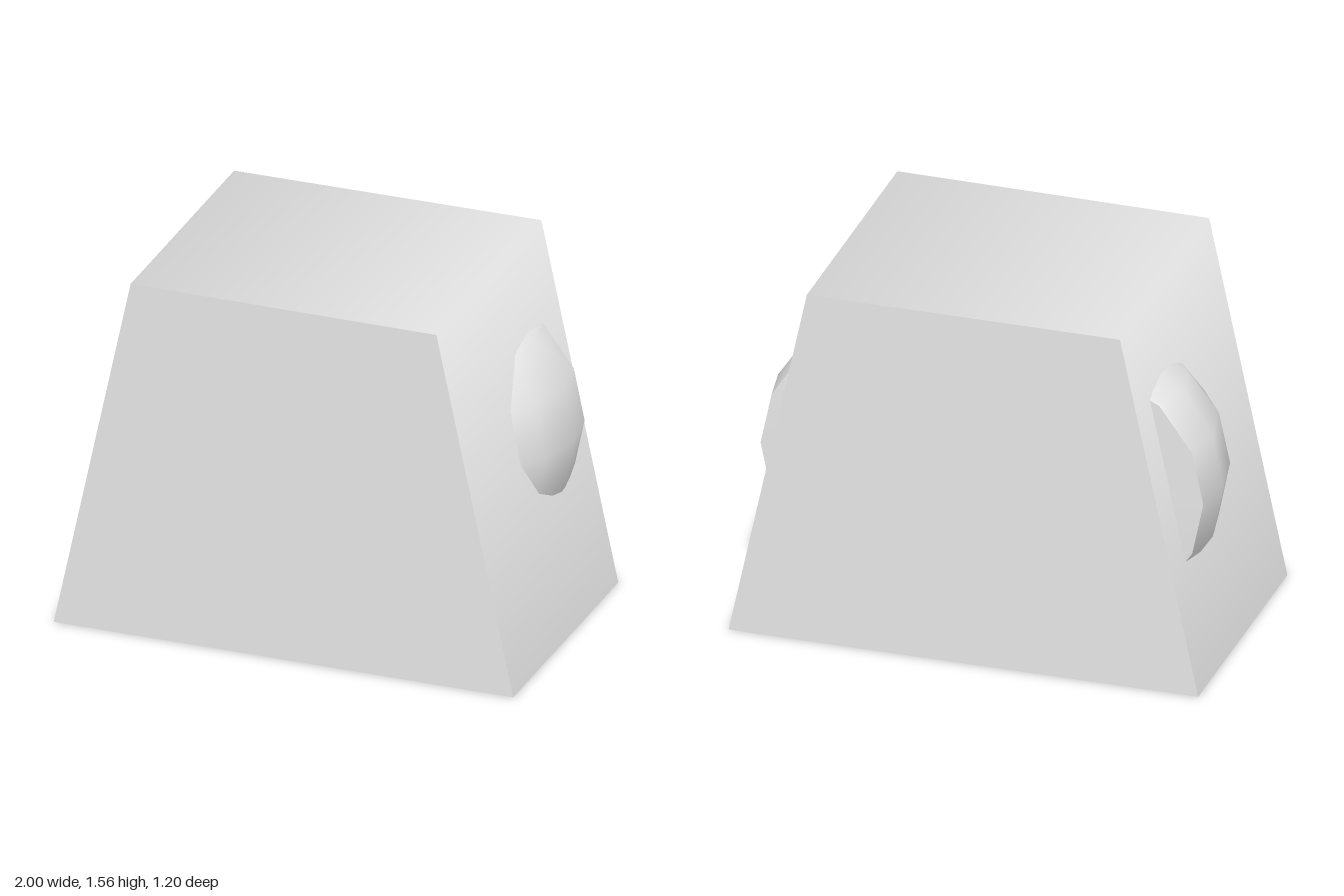
import * as THREE from 'three';
import { toCreasedNormals } from 'three/addons/utils/BufferGeometryUtils.js';

const H = 1.56;

// Move every vertex of a geometry by a rule
function reshape(geometry, rule) {
  const p = geometry.attributes.position;
  const v = new THREE.Vector3();
  for (let i = 0; i < p.count; i++) {
    v.fromBufferAttribute(p, i);
    rule(v);
    p.setXYZ(i, v.x, v.y, v.z);
  }
  return geometry;
}

// Tapered block, front and back very slightly skewed
function bodyGeometry() {
  const box = new THREE.BoxGeometry(2, H, 1.2).translate(0, H / 2, 0);
  reshape(box, (v) => {
    if (v.z > 0 && v.x < 0) v.z = 0.577;
    if (v.z < 0 && v.x > 0) v.z = -0.594;
    if (v.y > H / 2) v.x *= 0.667;
  });
  // smooth over the top edges, sharp elsewhere
  return toCreasedNormals(box, 1.48);
}

// Outer half of a low-sided sphere, sliced flat at the back
function podGeometry(side) {
  const R = 0.59, cut = 0.18;
  const start = side > 0 ? Math.PI / 2 : -Math.PI / 2;
  const half = new THREE.SphereGeometry(R, 8, 8, start, Math.PI);
  reshape(half, (v) => {
    if (v.z >= -cut) return;
    const r = Math.hypot(v.x, v.z);
    const angle = Math.asin(Math.min(1, -v.z / r));
    const rim = Math.asin(cut / r);
    // first meridian behind the slice becomes its rim, the rest lie flat
    if (angle - Math.PI / 8 < rim) v.x = side * r * Math.cos(rim);
    v.z = -cut;
  });
  return toCreasedNormals(half, 0.7);
}

export function createModel() {
  const model = new THREE.Group();
  model.name = 'taperedBlockWithPods';
  const lightGrey = new THREE.MeshStandardMaterial({ color: 0xe7e7e7 });
  lightGrey.name = 'lightGrey';

  const body = new THREE.Mesh(bodyGeometry(), lightGrey);
  body.name = 'body';
  model.add(body);

  // Side pods, the right one standing out a little further
  for (const [name, side, x] of [['leftPod', 1, 0.355], ['rightPod', -1, -0.405]]) {
    const pod = new THREE.Mesh(podGeometry(side), lightGrey);
    pod.name = name;
    pod.position.set(x, 0.78, -0.25);
    model.add(pod);
  }
  return model;
}
